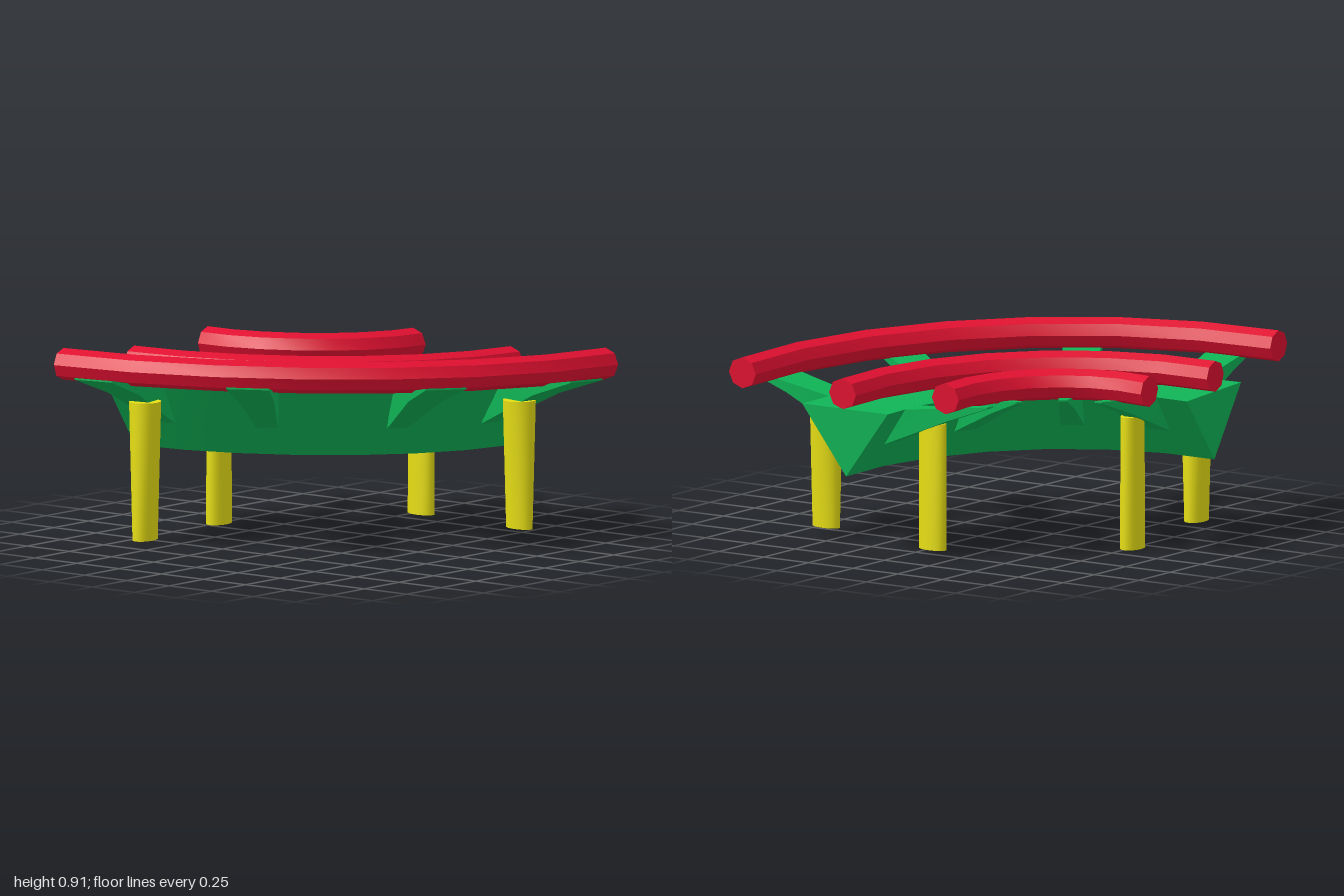
import * as THREE from 'three';
import { toCreasedNormals } from 'three/addons/utils/BufferGeometryUtils.js';

const red = new THREE.MeshStandardMaterial({ color: 0xe01030 });
const green = new THREE.MeshStandardMaterial({ color: 0x0fb355 });
const yellow = new THREE.MeshStandardMaterial({ color: 0xe6de14 });

// Closed solid through a row of equal-sized rings of points, with end caps.
function loft(rings) {
  const n = rings[0].length;
  const tris = [];
  for (let i = 0; i < rings.length - 1; i++) {
    for (let j = 0; j < n; j++) {
      const k = (j + 1) % n;
      const a = rings[i][j], b = rings[i + 1][j], c = rings[i + 1][k], d = rings[i][k];
      tris.push([a, b, c], [a, c, d]);
    }
  }
  const first = rings[0], last = rings[rings.length - 1];
  for (let j = 1; j < n - 1; j++) {
    tris.push([first[0], first[j], first[j + 1]], [last[0], last[j + 1], last[j]]);
  }
  // turn the faces outward
  const o = first[0];
  let volume = 0;
  for (const [a, b, c] of tris) {
    volume += a.clone().sub(o).dot(b.clone().sub(o).cross(c.clone().sub(o)));
  }
  if (volume < 0) tris.forEach((t) => t.reverse());
  const geo = new THREE.BufferGeometry().setFromPoints(tris.flat());
  return toCreasedNormals(geo, Math.PI / 6);
}

// Sweeps a profile of [radius, height] points round the bend; the ends are flat cuts.
function bend(profile, segments = 7) {
  const rings = [];
  for (let i = 0; i <= segments; i++) {
    rings.push(profile.map(([r, y]) => {
      const start = -Math.asin((0.02 + 0.04 * r) / r);
      const end = Math.PI / 2 + Math.asin((0.14 - 0.05 * r) / r);
      const a = start + (end - start) * i / segments;
      return new THREE.Vector3(r * Math.cos(a), y, r * Math.sin(a));
    }));
  }
  return loft(rings);
}

// Eight-sided rail profile.
function railProfile(r, y, radius = 0.073) {
  return Array.from({ length: 8 }, (_, i) => {
    const a = i * Math.PI / 4;
    return [r + radius * Math.cos(a), y + radius * Math.sin(a)];
  });
}

// Tapered bracket along +x; each section: [topR, topY, topHalfWidth, bottomR, bottomY, bottomHalfWidth]
function bracket(sections) {
  return loft(sections.map(([tr, ty, tw, br, by, bw]) => [
    new THREE.Vector3(tr, ty, -tw), new THREE.Vector3(tr, ty, tw),
    new THREE.Vector3(br, by, bw), new THREE.Vector3(br, by, -bw),
  ]));
}

// Upright leg with an oval section, its narrow side changing from bottom to top.
function legGeometry(height, narrowBottom, narrowTop) {
  const geo = new THREE.CylinderGeometry(0.078, 0.078, height, 20);
  const p = geo.attributes.position;
  for (let i = 0; i < p.count; i++) {
    const t = p.getY(i) / height + 0.5;
    p.setZ(i, p.getZ(i) * (narrowBottom + (narrowTop - narrowBottom) * t) / 0.156);
  }
  geo.computeVertexNormals();
  return toCreasedNormals(geo, Math.PI / 5);
}

export function createModel() {
  const model = new THREE.Group();
  model.name = 'curvedTrack';

  const add = (parent, name, geo, mat) => {
    const mesh = new THREE.Mesh(geo, mat);
    mesh.name = name;
    parent.add(mesh);
    return mesh;
  };

  // Track, slightly banked
  const bank = new THREE.Group();
  bank.name = 'track';
  bank.rotation.set(-0.036, 0, 0.013);
  model.add(bank);
  const track = new THREE.Group();
  track.name = 'bend';
  track.position.set(-0.88, 0, -0.865);
  bank.add(track);

  // Triangular spine beam and three rails
  add(track, 'spine', bend([[0.91, 0.705], [1.375, 0.705], [1.14, 0.388]]), green);
  add(track, 'innerRail', bend(railProfile(0.595, 0.814)), red);
  add(track, 'middleRail', bend(railProfile(1.155, 0.775)), red);
  add(track, 'outerRail', bend(railProfile(1.7, 0.813)), red);

  // Brackets holding the side rails
  const outer = bracket([
    [1.34, 0.7, 0.065, 1.24, 0.52, 0.05],
    [1.62, 0.738, 0.085, 1.62, 0.69, 0.085],
    [1.89, 0.782, 0.1, 1.89, 0.774, 0.1],
  ]);
  const inner = bracket([
    [0.94, 0.7, 0.055, 1.04, 0.52, 0.055],
    [0.66, 0.74, 0.037, 0.66, 0.68, 0.037],
    [0.42, 0.778, 0.02, 0.42, 0.77, 0.02],
  ]);
  for (const degrees of [8, 31, 59, 82]) {
    const angle = -THREE.MathUtils.degToRad(degrees);
    add(track, 'outerBracket', outer, green).rotation.y = angle;
    add(track, 'innerBracket', inner, green).rotation.y = angle;
  }

  // Legs: [name, x, z, foot height, top height, narrow width at bottom, at top, angle]
  const legs = [
    ['innerLeg', -0.75, -0.085, 0.002, 0.62, 0.105, 0.095, 81],
    ['outerLeg', -0.64, 0.585, 0.018, 0.66, 0.1, 0.145, 81],
    ['innerLeg', -0.1, -0.755, 0.03, 0.62, 0.09, 0.08, 9],
    ['outerLeg', 0.58, -0.635, 0.045, 0.64, 0.085, 0.15, 9],
  ];
  for (const [name, x, z, y0, y1, bottom, top, degrees] of legs) {
    const leg = add(model, name, legGeometry(y1 - y0, bottom, top), yellow);
    leg.position.set(x, (y0 + y1) / 2, z);
    leg.rotation.y = -THREE.MathUtils.degToRad(degrees);
  }
  return model;
}
